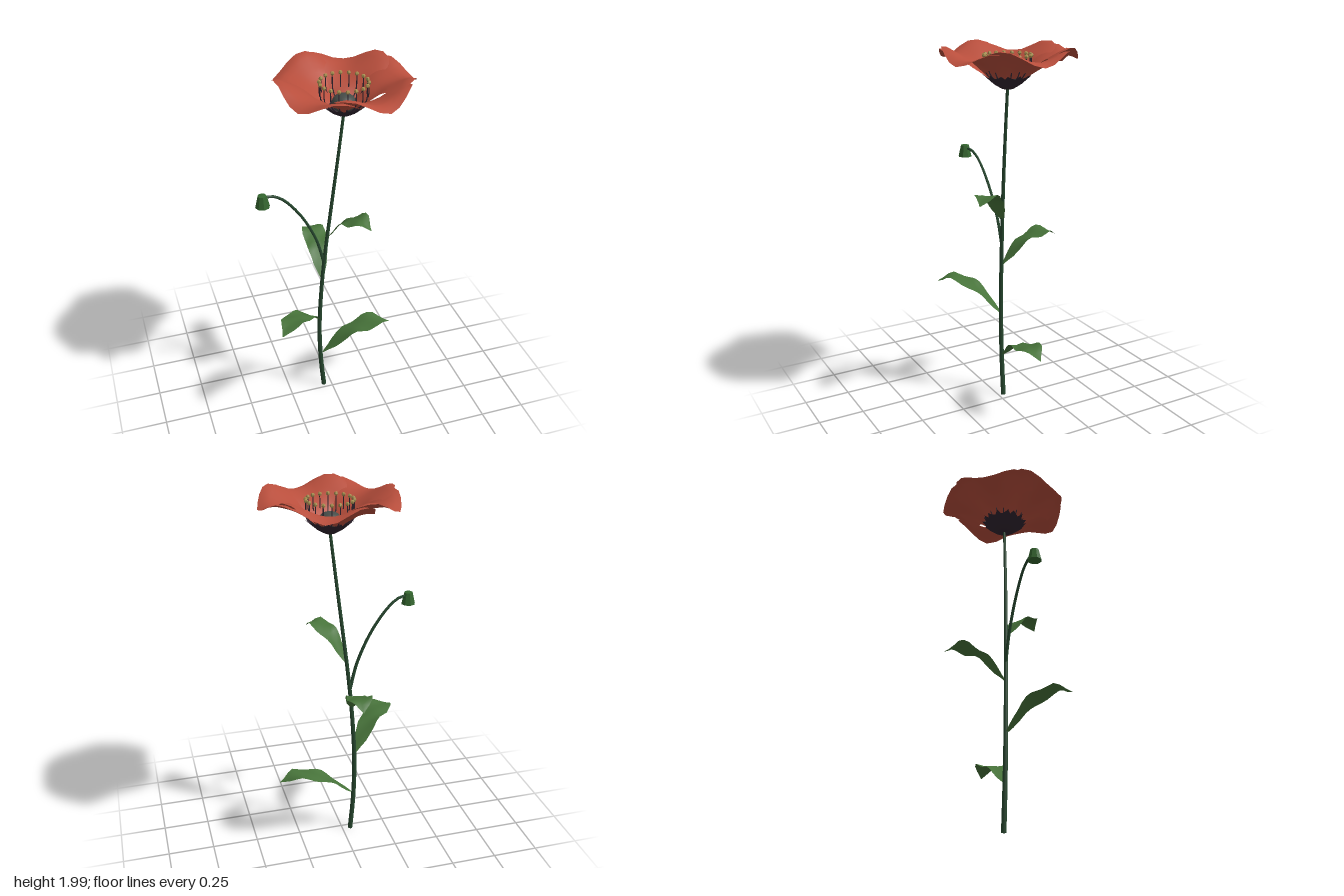
import * as THREE from 'three';

const mat = (color, side = THREE.FrontSide) =>
  new THREE.MeshStandardMaterial({ color, side, roughness: 0.8 });
const V = (x, y, z) => new THREE.Vector3(x, y, z);
const RAD = Math.PI / 180;

// Linear lookup in a short list of [position, value] pairs
function lookup(table, x) {
  for (let i = 1; i < table.length; i++) {
    const [x0, y0] = table[i - 1], [x1, y1] = table[i];
    if (x <= x1) return y0 + (y1 - y0) * Math.max(0, (x - x0) / (x1 - x0));
  }
  return table[table.length - 1][1];
}

// Open surface from fn(u in -1..1, v in 0..1)
function sheet(nu, nv, fn) {
  const pos = [], idx = [];
  for (let j = 0; j <= nv; j++)
    for (let i = 0; i <= nu; i++) pos.push(...fn((i / nu) * 2 - 1, j / nv).toArray());
  for (let j = 0; j < nv; j++)
    for (let i = 0; i < nu; i++) {
      const a = j * (nu + 1) + i, b = a + nu + 1;
      idx.push(a, a + 1, b, a + 1, b + 1, b);
    }
  const g = new THREE.BufferGeometry();
  g.setAttribute('position', new THREE.Float32BufferAttribute(pos, 3));
  g.setIndex(idx);
  g.computeVertexNormals();
  return g;
}

// Tube along points that narrows from r0 to r1
function taperedTube(points, r0, r1, segs, sides) {
  const curve = new THREE.CatmullRomCurve3(points);
  const g = new THREE.TubeGeometry(curve, segs, r0, sides);
  const p = g.attributes.position, v = V(0, 0, 0);
  for (let i = 0; i < p.count; i++) {
    const t = Math.floor(i / (sides + 1)) / segs;
    const c = curve.getPointAt(t);
    v.fromBufferAttribute(p, i).sub(c).multiplyScalar(1 + (r1 / r0 - 1) * t).add(c);
    p.setXYZ(i, v.x, v.y, v.z);
  }
  return g;
}

// Heights by radius of the petals and of the dark cup below, and petal rim radius
const PETAL_Y = [[0.06, 1.828], [0.12, 1.878], [0.2, 1.922], [0.26, 1.946], [0.31, 1.962], [0.36, 1.95]];
const CUP_Y = [[0.01, 1.775], [0.03, 1.778], [0.07, 1.802], [0.13, 1.855]];
const RIM = [[0, 0.36], [0.3, 0.347], [0.65, 0.335], [0.9, 0.305], [1, 0.27]];

function petalPoint(u, s) {
  const a = u * (38 + 17 * s * s) * RAD;
  const inner = 0.068 / Math.cos(a);
  const r = inner + (lookup(RIM, Math.abs(u)) - inner) * s;
  // arched near the base, wavy at the rim; one side lies over its neighbour
  const arch = -0.03 * u * u * (1 - s);
  const wave = -0.032 * s * s * Math.cos(5.6 * a);
  const y = lookup(PETAL_Y, r) + arch + wave - u * 0.012 * Math.min(1, s * 2);
  return V(r * Math.cos(a), y, -r * Math.sin(a));
}

function cupPoint(u, s) {
  const a = u * 38 * RAD;
  const r = 0.008 + (0.11 + 0.012 * Math.cos(u * 9)) * s;
  return V(r * Math.cos(a), lookup(CUP_Y, r), -r * Math.sin(a));
}

// Leaf half-width, and its arch as fractions of reach and rise
const LEAF_WIDTH = [[0, 0.006], [0.15, 0.036], [0.32, 0.054], [0.45, 0.056], [0.62, 0.068], [0.78, 0.058], [0.9, 0.022], [1, 0.001]];
const ARCH = new THREE.CatmullRomCurve3([V(0, 0, 0), V(0.27, 0.56, 0), V(0.51, 0.89, 0), V(0.78, 1, 0), V(1, 0.8, 0)]);

function leafGeometry(reach, rise) {
  return sheet(4, 13, (u, t) => {
    const p = ARCH.getPoint(t), w = lookup(LEAF_WIDTH, t);
    const lift = Math.abs(u) * w * (0.02 + 0.2 * Math.sin(t * 14 - 3 + u));
    return V(p.x * reach, p.y * rise + lift, -u * w);
  });
}

export function createModel() {
  const root = new THREE.Group();
  root.name = 'poppy';
  const add = (parent, name, geometry, material) => {
    const m = new THREE.Mesh(geometry, material);
    m.name = name;
    parent.add(m);
    return m;
  };
  const stemMat = mat(0x27482f, THREE.DoubleSide);
  const leafMat = mat(0x47733a, THREE.DoubleSide);
  const petalMat = mat(0xb84e3c, THREE.DoubleSide);
  const darkMat = mat(0x30242f, THREE.DoubleSide);
  const budMat = mat(0x34662f);
  budMat.flatShading = true;
  const antherMat = mat(0xa89050);
  antherMat.flatShading = true;

  // Main stem
  add(root, 'stem', taperedTube([
    V(-0.045, 0, -0.03), V(-0.062, 0.2, -0.03), V(-0.069, 0.45, -0.028), V(-0.055, 0.75, -0.022),
    V(-0.033, 1, -0.015), V(-0.005, 1.25, -0.007), V(0.03, 1.55, 0), V(0.057, 1.785, 0.003),
  ], 0.014, 0.008, 28, 8), stemMat);

  // Side stem with a hanging bud
  add(root, 'budStem', taperedTube([
    V(-0.043, 0.9, -0.02), V(-0.086, 1.06, -0.014), V(-0.172, 1.235, -0.004),
    V(-0.272, 1.358, 0.008), V(-0.335, 1.393, 0.02), V(-0.378, 1.388, 0.029),
  ], 0.009, 0.007, 20, 6), stemMat);
  const budProfile = [[0, 1.345], [0.038, 1.346], [0.023, 1.41], [0, 1.413]];
  const bud = add(root, 'bud', new THREE.LatheGeometry(
    budProfile.map(([r, y]) => new THREE.Vector2(r, y)), 8), budMat);
  bud.position.set(-0.378, 0, 0.03);

  // Leaves: base point, reach along x and z, rise
  [
    [V(-0.05, 0.25, -0.03), 0.41, 0, 0.165],
    [V(-0.07, 0.5, -0.028), -0.28, 0.257, 0.185],
    [V(-0.052, 0.79, -0.02), 0.03, -0.33, 0.175],
    [V(-0.027, 1.06, -0.012), 0.168, 0.222, 0.185],
  ].forEach(([base, dx, dz, rise]) => {
    const leaf = add(root, 'leaf', leafGeometry(Math.hypot(dx, dz), rise), leafMat);
    leaf.position.copy(base);
    leaf.rotation.y = Math.atan2(-dz, dx);
  });

  // Flower head
  const flower = new THREE.Group();
  flower.name = 'flower';
  flower.position.set(0.057, 0, 0.003);
  root.add(flower);
  const petalGeo = sheet(12, 10, petalPoint), cupGeo = sheet(8, 5, cupPoint);
  for (let i = 0; i < 5; i++) {
    const angle = i * 72 * RAD;
    add(flower, 'petal', petalGeo, petalMat).rotation.y = angle;
    add(flower, 'petalBase', cupGeo, darkMat).rotation.y = angle;
  }

  // Seed pod in the middle
  const pod = add(flower, 'seedPod', new THREE.SphereGeometry(0.06, 20, 12), mat(0x454b47));
  pod.position.y = 1.84;
  pod.scale.y = 0.75;

  // Ring of stamens
  const filamentGeo = taperedTube([V(0.03, 1.785, 0), V(0.09, 1.835, 0), V(0.116, 1.868, 0), V(0.12, 1.94, 0)], 0.004, 0.0025, 8, 5);
  const antherGeo = new THREE.SphereGeometry(0.011, 5, 4);
  for (let i = 0; i < 18; i++) {
    const stamen = new THREE.Group();
    stamen.name = 'stamen';
    stamen.rotation.y = i * 20 * RAD;
    flower.add(stamen);
    add(stamen, 'filament', filamentGeo, darkMat);
    add(stamen, 'anther', antherGeo, antherMat).position.set(0.12, 1.945, 0);
  }
  return root;
}
